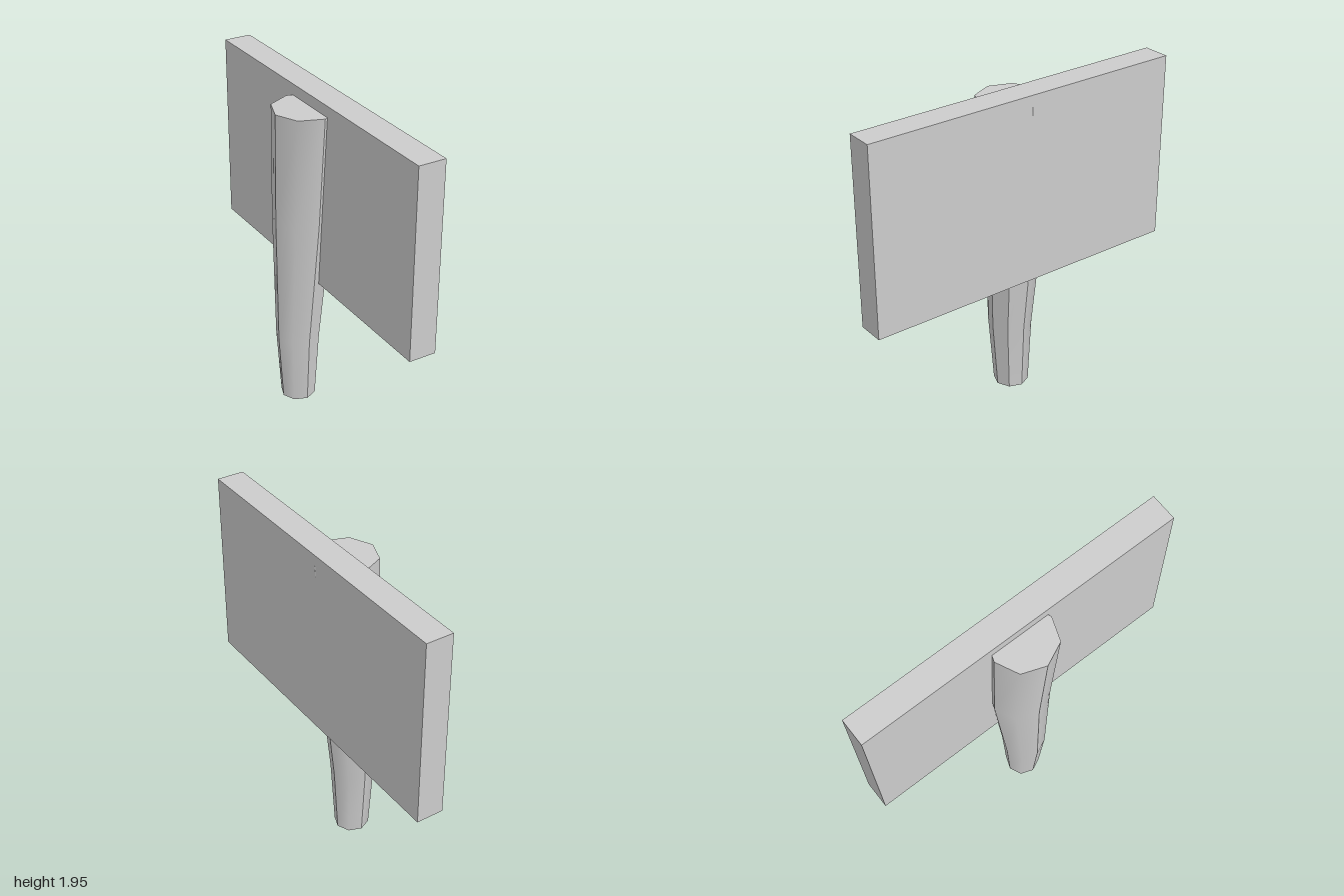
import * as THREE from 'three';

// Post rings from the ground up: height, centre x, centre z, radius
const RINGS = [
  [0, -0.055, -0.063, 0.104],
  [0.42, -0.06, -0.058, 0.13],
  [1.2, -0.023, -0.06, 0.175],
  [1.88, -0.021, -0.025, 0.192],
];
const SIDES = 8;

function ringPoint([y, cx, cz, r], i) {
  const a = (i / SIDES) * Math.PI * 2;
  return [cx + r * Math.cos(a), y, cz + r * Math.sin(a)];
}

// One smooth strip of wall between two sharp vertical edges
function wallStrip(from, to) {
  const positions = [], index = [];
  const columns = to - from + 1;
  for (const ring of RINGS) {
    for (let i = from; i <= to; i++) positions.push(...ringPoint(ring, i));
  }
  for (let row = 0; row < RINGS.length - 1; row++) {
    for (let i = 0; i < columns - 1; i++) {
      const a = row * columns + i, b = a + columns;
      index.push(a, b, a + 1, b, b + 1, a + 1);
    }
  }
  return makeGeometry(positions, index);
}

function topCap() {
  const [y, cx, cz] = RINGS[RINGS.length - 1];
  const positions = [cx, y, cz], index = [];
  for (let i = 0; i < SIDES; i++) {
    positions.push(...ringPoint(RINGS[RINGS.length - 1], i));
    index.push(0, 1 + ((i + 1) % SIDES), 1 + i);
  }
  return makeGeometry(positions, index);
}

function makeGeometry(positions, index) {
  const geometry = new THREE.BufferGeometry();
  geometry.setAttribute('position', new THREE.Float32BufferAttribute(positions, 3));
  geometry.setIndex(index);
  geometry.computeVertexNormals();
  return geometry;
}

export function createModel() {
  const model = new THREE.Group();
  model.name = 'signpost';
  const grey = new THREE.MeshStandardMaterial({ color: 0xcccccc, side: THREE.DoubleSide });
  grey.name = 'light grey';

  // Board, turned slightly off the z axis
  const board = new THREE.Mesh(new THREE.BoxGeometry(0.163, 1.135, 1.994), grey);
  board.name = 'board';
  board.position.set(0.086, 1.378, 0);
  board.rotation.y = -0.043;
  model.add(board);

  // Tapered eight-sided post, open underneath
  const post = new THREE.Group();
  post.name = 'post';
  const sharpEdges = [0, 1, 2, 4, 6, 8];
  for (let i = 0; i < sharpEdges.length - 1; i++) {
    const wall = new THREE.Mesh(wallStrip(sharpEdges[i], sharpEdges[i + 1]), grey);
    wall.name = 'postWall';
    post.add(wall);
  }
  const cap = new THREE.Mesh(topCap(), grey);
  cap.name = 'postTop';
  post.add(cap);
  model.add(post);

  return model;
}
